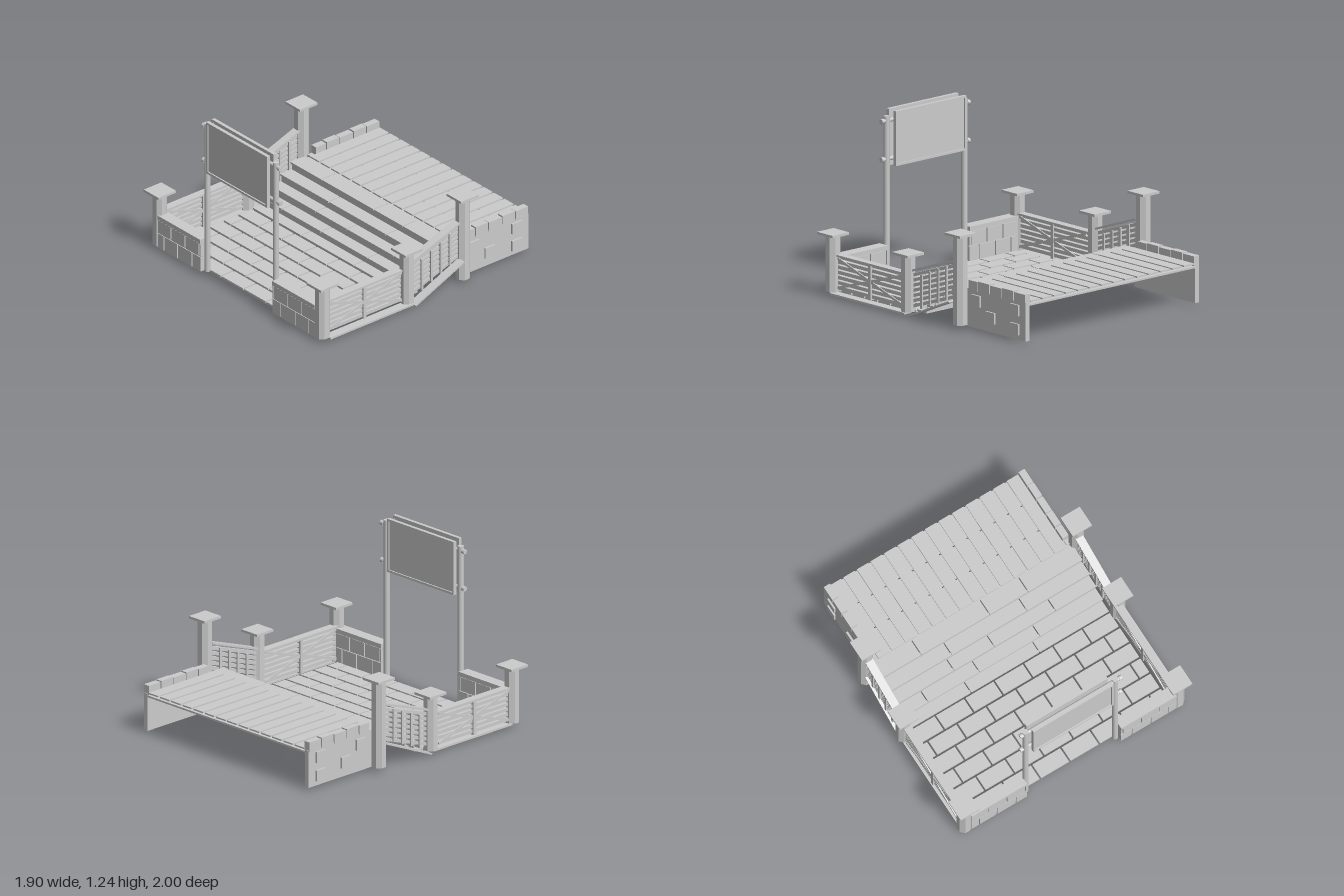
import * as THREE from 'three';

const mat = new THREE.MeshStandardMaterial({ color: 0xcccccc, flatShading: true });
const smooth = new THREE.MeshStandardMaterial({ color: 0xcccccc });

export function createModel() {
  const root = new THREE.Group();
  const group = (name) => {
    const g = new THREE.Group();
    g.name = name;
    root.add(g);
    return g;
  };
  // Box given by its limits on each axis
  const box = (parent, name, x0, x1, y0, y1, z0, z1) => {
    const m = new THREE.Mesh(new THREE.BoxGeometry(x1 - x0, y1 - y0, z1 - z0), mat);
    m.position.set((x0 + x1) / 2, (y0 + y1) / 2, (z0 + z1) / 2);
    m.name = name;
    parent.add(m);
    return m;
  };
  // Sloping bar between two points (y, z) at a given x
  const beam = (parent, name, x, w, h, y0, z0, y1, z1) => {
    const m = new THREE.Mesh(new THREE.BoxGeometry(w, h, Math.hypot(y1 - y0, z1 - z0)), mat);
    m.position.set(x, (y0 + y1) / 2, (z0 + z1) / 2);
    m.rotation.x = -Math.atan2(y1 - y0, z1 - z0);
    m.name = name;
    parent.add(m);
  };
  // Row of boards along x, split at the given joints
  const splitRow = (parent, name, x0, x1, joints, gap, y0, y1, z0, z1) => {
    const e = [x0 - gap / 2, ...joints, x1 + gap / 2];
    for (let i = 0; i < e.length - 1; i++)
      box(parent, name, e[i] + gap / 2, e[i + 1] - gap / 2, y0, y1, z0, z1);
  };

  // Upper deck: planks along z on three cross boards
  const deck = group('upperDeck');
  const pitch = 1.56 / 14;
  for (let i = 0; i < 14; i++) {
    const x = -0.78 + i * pitch;
    box(deck, 'deckPlank', x + 0.009, x + pitch - 0.009, 0.295, 0.306, -1, -0.365);
  }
  [[-1, -0.8], [-0.79, -0.585], [-0.575, -0.36]].forEach(([a, b]) =>
    box(deck, 'crossBoard', -0.8, 0.8, 0.27, 0.283, a, b));

  // Side walls of the deck with cap stones and raised stones
  const capEdges = [-0.415, -0.515, -0.635, -0.76, -0.88, -1];
  const raised = [[-0.5, 0.22], [-0.645, 0.126], [-0.89, 0.23], [-0.89, 0.094]];
  for (const s of [-1, 1]) {
    const wall = group(s > 0 ? 'leftDeckWall' : 'rightDeckWall');
    const span = (name, a, b, ...r) => box(wall, name, Math.min(s * a, s * b), Math.max(s * a, s * b), ...r);
    span('wallCore', 0.782, 0.818, 0.02, 0.295, -1, -0.38);
    for (let i = 0; i < 5; i++)
      span('capStone', 0.772, 0.822, 0.285, i % 2 ? 0.36 : 0.355, capEdges[i + 1] + 0.004, capEdges[i] - 0.004);
    raised.forEach(([z, y]) => span('raisedStone', 0.8, 0.832, y - 0.04, y + 0.04, z - 0.045, z + 0.045));
  }

  // Stairs: split treads with a riser under each
  const stairs = group('stairs');
  const treads = [
    [0.283, -0.365, -0.235, [-0.5, 0.06, 0.375]],
    [0.222, -0.245, -0.14, [-0.31, 0.305]],
    [0.16, -0.16, -0.055, [-0.345, -0.015, 0.485]],
    [0.097, -0.075, 0.03, [-0.61, -0.19, 0.305]],
    [0.045, 0.01, 0.11, [-0.31, 0.25]],
  ];
  treads.forEach(([y, z0, z1, joints], i) => {
    splitRow(stairs, 'tread', -0.83, 0.82, joints, 0.007, y - 0.013, y, z0, z1);
    const below = i < 4 ? treads[i + 1][0] - 0.01 : 0.02;
    box(stairs, 'riser', -0.825, 0.815, below, y - 0.01, z1 - 0.022, z1 - 0.01);
  });

  // Paved floor in running bond
  const floor = group('pavedFloor');
  [-0.61, -0.755, -0.61, -0.71, -0.61, -0.72].forEach((first, r) => {
    const joints = [];
    for (let x = first; x < 0.79; x += 0.241) joints.push(x);
    const z = 0.122 + r * 0.1325;
    splitRow(floor, 'paver', -0.83, 0.82, joints, 0.012, 0.02, 0.037, z, z + 0.115);
  });

  // Low front walls: core, two courses of stones and a coping
  for (const s of [-1, 1]) {
    const wall = group(s > 0 ? 'frontWallLeft' : 'frontWallRight');
    const a = s > 0 ? 0.385 : -0.84, b = a + 0.455;
    box(wall, 'wallCore', a, b, 0.03, 0.26, 0.888, 0.952);
    box(wall, 'coping', a, b, 0.25, 0.283, 0.876, 0.964);
    const edge = (list) => (s > 0 ? list.map((x) => -x).reverse() : list);
    splitRow(wall, 'lowerStone', a, b, edge([-0.775, -0.63, -0.475]), 0.008, 0.03, 0.142, 0.878, 0.962);
    splitRow(wall, 'upperStone', a, b, edge([-0.7, -0.55, -0.4]), 0.008, 0.147, 0.247, 0.878, 0.962);
  }

  // Octagonal posts with square caps
  const post = (name, x, z, top) => {
    const g = group(name);
    const m = new THREE.Mesh(new THREE.CylinderGeometry(0.054, 0.054, top - 0.045, 8), mat);
    m.rotation.y = Math.PI / 8;
    m.position.set(x, (top + 0.025) / 2, z);
    m.name = 'postShaft';
    g.add(m);
    box(g, 'postCap', x - 0.078, x + 0.078, top - 0.018, top, z - 0.08, z + 0.08);
  };
  post('frontPostRight', -0.873, 0.917, 0.455);
  post('frontPostLeft', 0.868, 0.917, 0.455);
  post('middlePostRight', -0.875, 0.125, 0.455);
  post('middlePostLeft', 0.868, 0.148, 0.455);
  post('tallPostRight', -0.872, -0.372, 0.69);
  post('tallPostLeft', 0.855, -0.372, 0.69);

  // Side fences: level section with cross brace, then a section up the stairs
  const fence = (side, x, plankX) => {
    const level = group(side + 'LevelFence');
    for (let i = 0; i < 7; i++)
      box(level, 'slat', x - 0.015, x + 0.015, 0.052 + i * 0.037, 0.077 + i * 0.037, 0.16, 0.89);
    box(level, 'topRail', x - 0.03, x + 0.03, 0.288, 0.302, 0.16, 0.89);
    box(level, 'centrePost', x - 0.027, x + 0.027, 0.04, 0.29, 0.522, 0.548);
    beam(level, 'brace', x, 0.046, 0.018, 0.06, 0.19, 0.28, 0.88);
    beam(level, 'brace', x, 0.046, 0.018, 0.28, 0.19, 0.06, 0.88);
    box(level, 'basePlank', plankX - 0.034, plankX + 0.034, 0.02, 0.034, 0.13, 0.89);

    const slope = group(side + 'StairFence');
    for (let i = 0; i < 7; i++) {
      const y = 0.075 + i * 0.037;
      beam(slope, 'slat', x, 0.03, 0.023, y, 0.11, y + 0.15, -0.33);
    }
    beam(slope, 'topRail', x, 0.06, 0.014, 0.33, 0.11, 0.485, -0.33);
    [0.01, -0.075, -0.16, -0.245].forEach((z) => {
      const y = 0.08 - 0.43 * z;
      box(slope, 'baluster', x - 0.025, x + 0.025, y, y + 0.245, z - 0.009, z + 0.009);
    });
    beam(slope, 'stringer', plankX, 0.066, 0.012, 0.0065, 0.115, 0.197, -0.33);
  };
  fence('right', -0.87, -0.87);
  fence('left', 0.85, 0.892);

  // Sign: two round poles, two cross bars, a framed panel on each face
  const sign = group('sign');
  const rod = (name, r, len, x, y, horizontal) => {
    const m = new THREE.Mesh(new THREE.CylinderGeometry(r, r, len, 14), smooth);
    m.position.set(x, y, 0.913);
    if (horizontal) m.rotation.z = Math.PI / 2;
    m.name = name;
    sign.add(m);
  };
  for (const x of [-0.368, 0.366]) rod('signPole', 0.022, 1.17, x, 0.615, false);
  for (const y of [0.892, 1.167]) {
    rod('crossBar', 0.014, 0.834, 0.002, y, true);
    for (const x of [-0.401, 0.407]) rod('barEnd', 0.018, 0.024, x, y, true);
  }
  const panel = (x0, x1, y0, y1, z, dir) => {
    const slab = (name, a, b, c, d, n, f) =>
      box(sign, name, a, b, c, d, Math.min(z + dir * n, z + dir * f), Math.max(z + dir * n, z + dir * f));
    const t = 0.016;
    slab('signPanel', x0 + 0.008, x1 - 0.008, y0 + 0.008, y1 - 0.008, 0.004, 0.016);
    slab('frameTop', x0, x1, y1 - t, y1, 0, 0.026);
    slab('frameBottom', x0, x1, y0, y0 + t, 0, 0.026);
    slab('frameSide', x0, x0 + t, y0 + t, y1 - t, 0, 0.026);
    slab('frameSide', x1 - t, x1, y0 + t, y1 - t, 0, 0.026);
  };
  panel(-0.33, 0.327, 0.835, 1.24, 0.933, 1);
  panel(-0.346, 0.318, 0.84, 1.232, 0.893, -1);

  return root;
}
